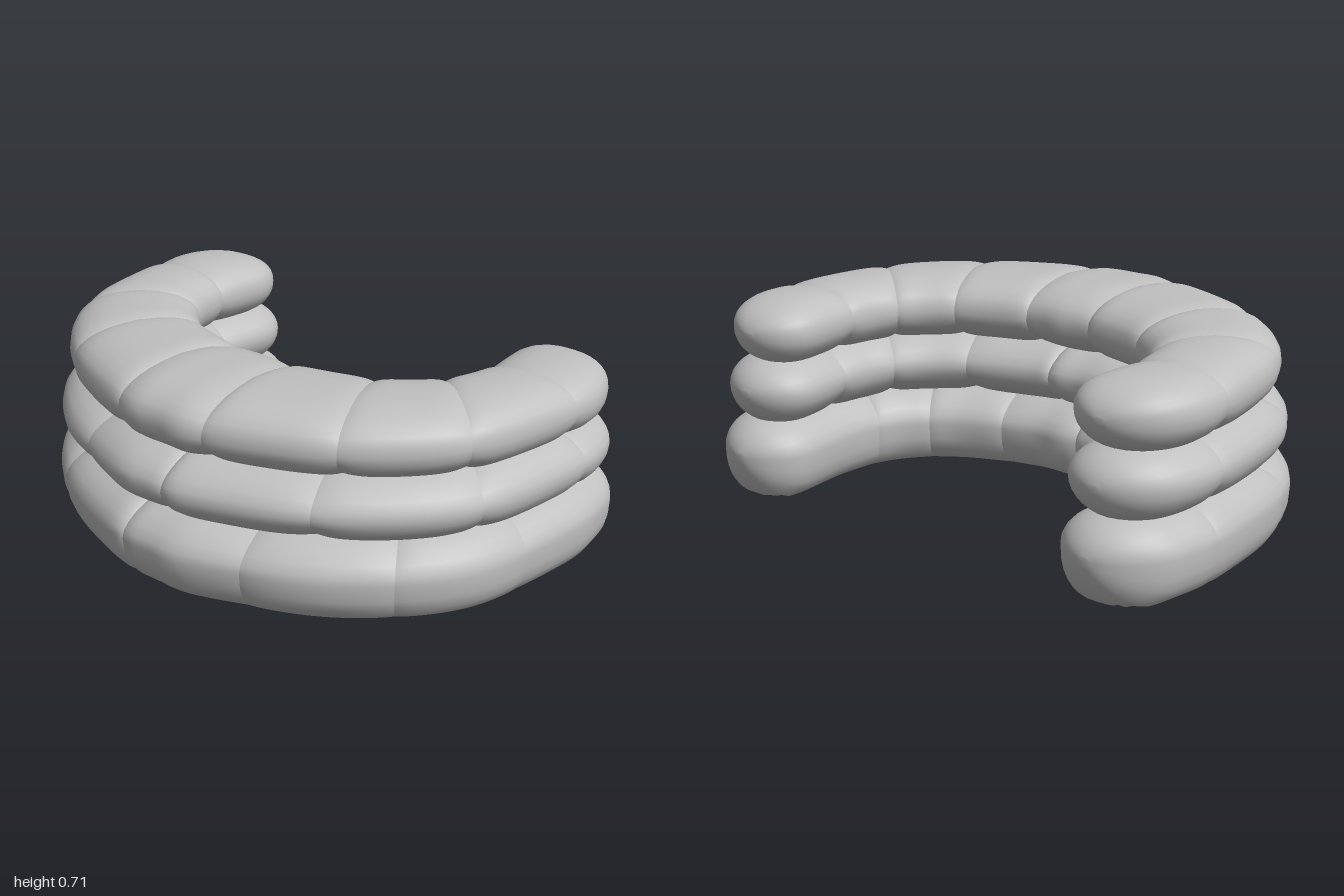
import * as THREE from 'three';

const bagCloth = new THREE.MeshStandardMaterial({ color: 0xc0c0c0 });
bagCloth.name = 'bagCloth';

// Plan outline of one half (x, z) from the front centre to the wall end
const outerHalf = [[0, 0.735], [0.2, 0.713], [0.62, 0.525], [0.92, 0.18], [1.0, -0.3], [0.98, -0.53], [0.93, -0.735]];
const innerHalf = [[0, 0.09], [0.14, 0.087], [0.4, 0.005], [0.55, -0.13], [0.595, -0.3], [0.575, -0.55], [0.58, -0.735]];

function mirroredCurve(half) {
  const left = half.map(([x, z]) => new THREE.Vector3(x, 0, z));
  const right = half.slice(1).reverse().map(([x, z]) => new THREE.Vector3(-x, 0, z));
  return new THREE.CatmullRomCurve3([...right, ...left], false, 'catmullrom', 0.5);
}
const outer = mirroredCurve(outerHalf);
const inner = mirroredCurve(innerHalf);

// Three courses with staggered seams; seams run from -6 to 6 along the outline.
// Each leans in a little, more at the front than at the sides.
// The "round" powers shape the upper and lower half: 1 is oval, less is boxier.
const courses = [
  { name: 'bottomBag', y: 0.16, above: 0.15, below: 0.2, roundAbove: 1, roundBelow: 0.8,
    front: 0, side: 0, end: 6, flat: true,
    seams: [-6, -4.2, -3.1, -1.95, -0.65, 1.4, 2.45, 3.45, 6] },
  { name: 'middleBag', y: 0.38, above: 0.14, below: 0.14, roundAbove: 1, roundBelow: 1,
    front: 0.018, side: 0.006, end: 5.8,
    seams: [-5.8, -4.1, -2.9, -1.45, 0.35, 1.85, 3.1, 4.2, 5.8] },
  { name: 'topBag', y: 0.585, above: 0.13, below: 0.13, roundAbove: 0.83, roundBelow: 0.95,
    front: 0.06, side: 0.015, end: 5.65,
    seams: [-5.65, -4, -3, -2, -1, 1, 2, 3, 4, 5.65] },
];

const ROWS = 24, SIDES = 28;
const soft = (v, power) => Math.sign(v) * Math.abs(v) ** power;

// One stuffed bag: a soft oval section swept between two seams
function bagGeometry(course, a, b) {
  const pos = [], index = [], caps = [];
  const from = Math.max(a - 0.06, -course.end), to = Math.min(b + 0.06, course.end);
  const ring = (i, j) => i * SIDES + (j % SIDES);
  for (let i = 0; i <= ROWS; i++) {
    const e = -Math.cos((i / ROWS) * Math.PI);
    const u = (from + to) / 2 + e * (to - from) / 2;
    const t = (u + 6) / 12;
    const o = outer.getPoint(t), n = inner.getPoint(t);
    const mid = o.clone().add(n).multiplyScalar(0.5);
    const across = o.clone().sub(n);
    const width = across.length();
    across.normalize();
    const inset = THREE.MathUtils.lerp(course.side, course.front, Math.max(0, across.z));
    mid.addScaledVector(across, -inset / 2);

    // Pinch at the seams, rounded nose at the free ends, slight sag towards them
    const q = Math.max(0, Math.abs(u) - course.end + 1);
    const nose = Math.max(0.1, Math.sqrt(Math.max(0, 1 - q ** 2.1)));
    const pinch = q > 0 ? 0 : Math.abs(e) ** 5;
    const sag = 0.006 * Math.max(0, Math.abs(u) - 1);
    const w = (width - inset) / 2 * nose * (1 - 0.05 * pinch);
    for (let j = 0; j < SIDES; j++) {
      const angle = (j / SIDES) * Math.PI * 2;
      const upper = Math.sin(angle) > 0;
      const power = upper ? course.roundAbove : course.roundBelow;
      const c = soft(Math.cos(angle), power), s = soft(Math.sin(angle), power);
      const tuck = !upper && course.flat ? 0 : pinch * (0.12 + 0.15 * Math.abs(c));
      const h = (upper ? course.above - sag : course.below) * nose * (1 - tuck);
      const p = mid.clone().addScaledVector(across, w * c);
      pos.push(p.x, Math.max(0.005, course.y + h * s), p.z);
    }
    if (i === 0 || i === ROWS) caps.push(mid.x, course.y, mid.z);
  }
  for (let i = 0; i < ROWS; i++) {
    for (let j = 0; j < SIDES; j++) {
      index.push(ring(i, j), ring(i + 1, j), ring(i, j + 1));
      index.push(ring(i + 1, j), ring(i + 1, j + 1), ring(i, j + 1));
    }
  }
  // Closed bag ends
  const start = (ROWS + 1) * SIDES;
  pos.push(...caps);
  for (let j = 0; j < SIDES; j++) {
    index.push(start, ring(0, j), ring(0, j + 1));
    index.push(start + 1, ring(ROWS, j + 1), ring(ROWS, j));
  }
  const geometry = new THREE.BufferGeometry();
  geometry.setAttribute('position', new THREE.Float32BufferAttribute(pos, 3));
  geometry.setIndex(index);
  geometry.computeVertexNormals();
  return geometry;
}

export function createModel() {
  const wall = new THREE.Group();
  wall.name = 'sandbagWall';
  for (const course of courses) {
    for (let k = 0; k < course.seams.length - 1; k++) {
      const bag = new THREE.Mesh(bagGeometry(course, course.seams[k], course.seams[k + 1]), bagCloth);
      bag.name = course.name + (k + 1);
      wall.add(bag);
    }
  }
  return wall;
}
